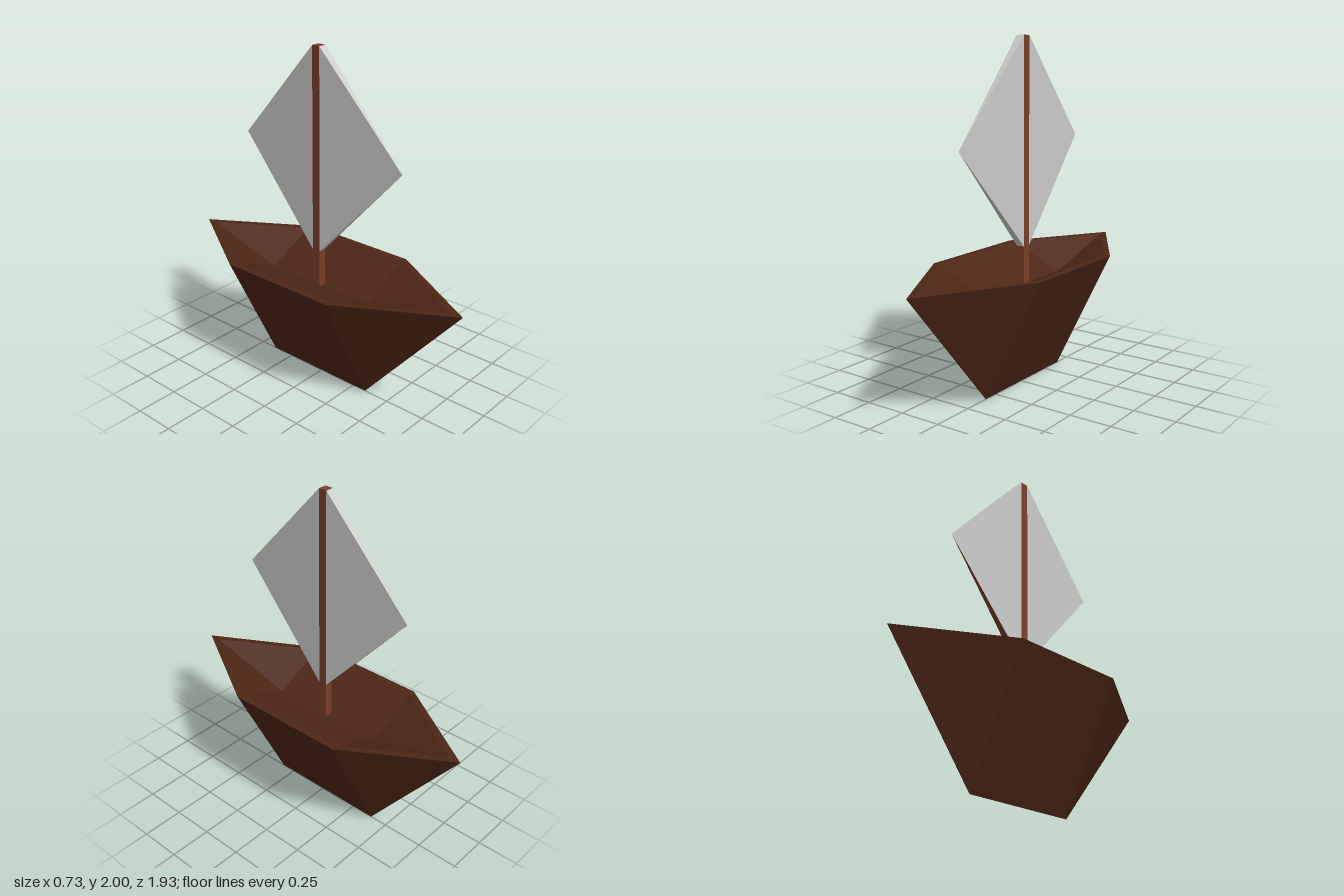
import * as THREE from 'three';

const hullBrown = new THREE.MeshStandardMaterial({ color: 0x4d2616, flatShading: true });
const mastBrown = new THREE.MeshStandardMaterial({ color: 0x7a3e2a, flatShading: true });
const sailGrey = new THREE.MeshStandardMaterial({ color: 0xcccccc, flatShading: true });

// Faceted mesh from a list of triangles, each made of three [x, y, z] corners
function facetMesh(name, triangles, material) {
  const geometry = new THREE.BufferGeometry();
  geometry.setAttribute('position', new THREE.Float32BufferAttribute(triangles.flat(2), 3));
  geometry.computeVertexNormals();
  const mesh = new THREE.Mesh(geometry, material);
  mesh.name = name;
  return mesh;
}

// Six-sided boat outline: bow, two left corners, stern, two right corners
const FRONT = 0.34, BACK = -0.39;
function outline(halfWidth, halfLength, y) {
  return [
    [0, y, halfLength], [halfWidth, y, FRONT], [halfWidth, y, BACK],
    [0, y, -halfLength], [-halfWidth, y, BACK], [-halfWidth, y, FRONT],
  ];
}

// The same six points pulled in to a single keel line
function keelLine(y) {
  return [FRONT, FRONT, BACK, BACK, BACK, FRONT].map((z) => [0, y, z]);
}

// Hull: keel, outer rim, inner rim, then the shallow inner keel
function createHull() {
  const rings = [
    keelLine(0),
    outline(0.363, 0.967, 0.73),
    outline(0.325, 0.895, 0.73),
    keelLine(0.585),
  ];
  const triangles = [];
  const add = (a, b, c) => {
    const same = (p, q) => p.every((v, i) => v === q[i]);
    if (!same(a, b) && !same(b, c) && !same(c, a)) triangles.push([a, b, c]);
  };
  for (let r = 0; r < 3; r++) {
    for (let i = 0; i < 6; i++) {
      const j = (i + 1) % 6;
      const [a, b, c, d] = [rings[r][i], rings[r][j], rings[r + 1][j], rings[r + 1][i]];
      add(a, b, c);
      add(a, c, d);
    }
  }
  return facetMesh('hull', triangles, hullBrown);
}

// Half sail: a thin pyramid from the mast out to a point
const MAST_Z = -0.02, MAST_HALF = 0.025, TOP = 2, SAIL_BOTTOM = 0.815;
function createHalfSail(name, reach, bottomMaterial) {
  const h = MAST_HALF;
  const base = [[h, TOP, h], [-h, TOP, h], [-h, SAIL_BOTTOM, h], [h, SAIL_BOTTOM, h]];
  const apex = [0, 1.41, reach];
  const faces = base.map((corner, i) => [corner, base[(i + 1) % 4], apex]);
  const half = new THREE.Group();
  half.name = name;
  half.add(facetMesh('sailCloth', [faces[0], faces[1], faces[3]], sailGrey));
  half.add(facetMesh('sailLowerEdge', [faces[2]], bottomMaterial));
  half.position.z = MAST_Z;
  return half;
}

export function createModel() {
  const boat = new THREE.Group();
  boat.name = 'sailboat';
  boat.add(createHull());

  // Mast, standing on the inner keel
  const mastFoot = 0.58;
  const mast = new THREE.Mesh(
    new THREE.BoxGeometry(MAST_HALF * 2, TOP - mastFoot, MAST_HALF * 2), mastBrown);
  mast.name = 'mast';
  mast.position.set(0, (TOP + mastFoot) / 2, MAST_Z);
  boat.add(mast);

  // Sail halves in front of and behind the mast
  boat.add(createHalfSail('frontSail', 0.57, sailGrey));
  const backSail = createHalfSail('backSail', 0.555, mastBrown);
  backSail.rotation.y = Math.PI;
  boat.add(backSail);

  return boat;
}
